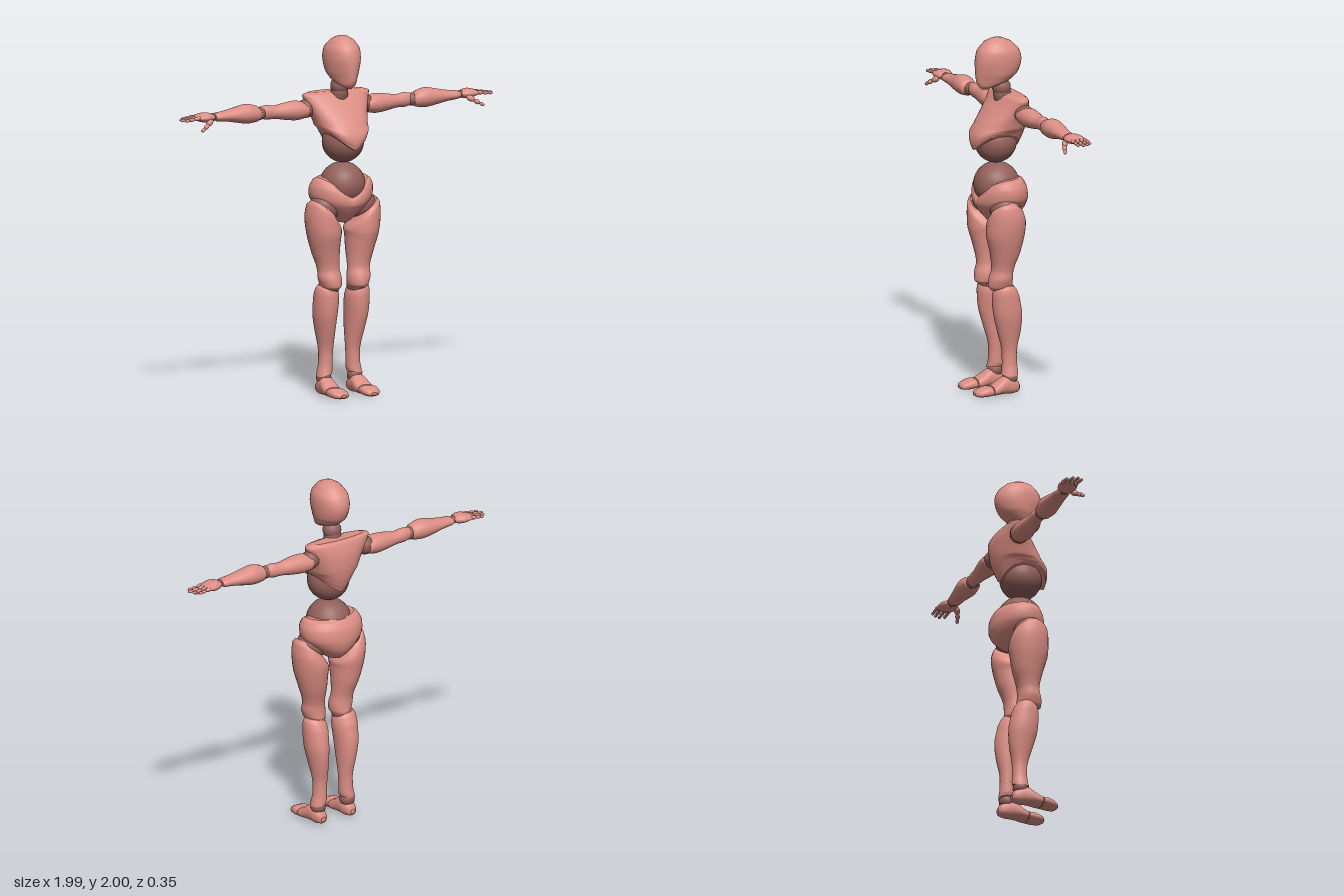
import * as THREE from 'three';

const skin = new THREE.MeshStandardMaterial({ color: 0xdc8e84 });
skin.name = 'rose body';
const joint = new THREE.MeshStandardMaterial({ color: 0x92605a });
joint.name = 'dark joint';

const clamp01 = (v) => Math.min(1, Math.max(0, v));

// Smooth body from sections [t, uMin, uMax, vMin, vMax] rising along an axis.
// axis y: u = x, v = z | axis x: u = y, v = z | axis z: u = x, v = y
function loft(axis, sections, deform, power = 1, sides = 32, sub = 5) {
  const rings = [];
  const at = (i) => sections[Math.min(sections.length - 1, Math.max(0, i))];
  for (let i = 0; i < sections.length - 1; i++) {
    for (let s = 0; s < sub; s++) {
      const f = s / sub;
      rings.push(at(i).map((b, k) => {
        const a = at(i - 1)[k], c = at(i + 1)[k], d = at(i + 2)[k];
        if (k === 0) return b + (c - b) * f;
        return 0.5 * (2 * b + (c - a) * f + (2 * a - 5 * b + 4 * c - d) * f * f
          + (3 * b - a - 3 * c + d) * f * f * f);
      }));
    }
  }
  rings.push(at(sections.length));
  const pos = [], idx = [];
  const put = (t, u, v) => {
    const p = axis === 'y' ? new THREE.Vector3(u, t, v)
      : axis === 'x' ? new THREE.Vector3(t, u, v) : new THREE.Vector3(u, v, t);
    if (deform) deform(p);
    pos.push(p.x, p.y, p.z);
  };
  const tri = (a, b, c) => (axis === 'y' ? idx.push(a, c, b) : idx.push(a, b, c));
  const bend = (w) => Math.sign(w) * Math.abs(w) ** power;
  const ring = ([t, u0, u1, v0, v1]) => {
    for (let j = 0; j < sides; j++) {
      const a = (j / sides) * Math.PI * 2;
      put(t, (u0 + u1) / 2 + bend(Math.cos(a)) * (u1 - u0) / 2,
        (v0 + v1) / 2 + bend(Math.sin(a)) * (v1 - v0) / 2);
    }
  };
  rings.forEach(ring);
  for (let i = 0; i < rings.length - 1; i++) {
    for (let j = 0; j < sides; j++) {
      const a = i * sides + j, b = i * sides + (j + 1) % sides;
      tri(a, b, a + sides);
      tri(b, b + sides, a + sides);
    }
  }
  // End caps with their own vertices, so the rims stay crisp
  [rings[0], rings[rings.length - 1]].forEach((r, end) => {
    const base = pos.length / 3;
    ring(r);
    put(r[0], (r[1] + r[2]) / 2, (r[3] + r[4]) / 2);
    for (let j = 0; j < sides; j++) {
      const a = base + j, b = base + (j + 1) % sides;
      if (end) tri(a, b, base + sides); else tri(b, a, base + sides);
    }
  });
  const g = new THREE.BufferGeometry();
  g.setAttribute('position', new THREE.Float32BufferAttribute(pos, 3));
  g.setIndex(idx);
  g.computeVertexNormals();
  return g;
}

const ball = (x, y, z, rx, ry = rx, rz = rx) =>
  new THREE.SphereGeometry(1, 28, 20).scale(rx, ry, rz).translate(x, y, z);

// Slim rounded finger bone between two points
function bone(a, b, r) {
  const dir = b.clone().sub(a);
  const g = new THREE.SphereGeometry(1, 12, 10).scale(r, dir.length() * 0.56, r);
  g.applyQuaternion(new THREE.Quaternion().setFromUnitVectors(
    new THREE.Vector3(0, 1, 0), dir.clone().normalize()));
  const m = a.clone().lerp(b, 0.5);
  return g.translate(m.x, m.y, m.z);
}

function mirrored(geometry) {
  const g = geometry.clone().scale(-1, 1, 1), ix = g.index;
  for (let i = 0; i < ix.count; i += 3) {
    const k = ix.getX(i);
    ix.setX(i, ix.getX(i + 1));
    ix.setX(i + 1, k);
  }
  return g;
}

export function createModel() {
  const model = new THREE.Group();
  model.name = 'jointedMannequin';
  const add = (name, geometry, material = skin) => {
    const m = new THREE.Mesh(geometry, material);
    m.name = name;
    model.add(m);
  };
  const pair = (name, geometry, material = skin) => {
    add(name + 'Left', geometry, material);
    add(name + 'Right', mirrored(geometry), material);
  };

  // Head with a face that narrows to the chin
  add('head', loft('y', [
    [1.712, -0.02, 0.02, 0.045, 0.085], [1.73, -0.05, 0.05, 0, 0.103],
    [1.755, -0.068, 0.068, -0.075, 0.115], [1.8, -0.086, 0.086, -0.128, 0.12],
    [1.87, -0.095, 0.095, -0.15, 0.12], [1.93, -0.09, 0.09, -0.132, 0.106],
    [1.975, -0.06, 0.06, -0.085, 0.068], [1.993, -0.03, 0.03, -0.045, 0.03],
    [2, -0.003, 0.003, -0.01, 0]], (p) => {
    p.x *= 1 - 0.3 * clamp01(p.z / 0.12) * clamp01((1.87 - p.y) / 0.1);
  }));
  add('neckBall', ball(0, 1.715, -0.035, 0.052), joint);
  add('neckBase', loft('y', [[1.63, -0.055, 0.055, -0.12, 0],
    [1.67, -0.05, 0.05, -0.095, 0.01], [1.7, -0.045, 0.045, -0.085, 0.01]]), joint);

  // Chest, its lower rim arching up over each side
  add('chest', loft('y', [
    [1.375, -0.122, 0.122, -0.125, 0.138], [1.41, -0.13, 0.13, -0.14, 0.146],
    [1.46, -0.138, 0.138, -0.155, 0.137], [1.53, -0.155, 0.155, -0.165, 0.095],
    [1.6, -0.18, 0.18, -0.163, 0.038], [1.645, -0.2, 0.2, -0.153, 0],
    [1.672, -0.206, 0.206, -0.142, -0.022], [1.684, -0.17, 0.17, -0.125, -0.05]], (p) => {
    p.y += Math.max(0, 1.5 - p.y) * 0.75 * Math.min(1, Math.abs(p.x) / 0.12) ** 1.3;
  }, 0.88));
  add('ribBall', ball(0, 1.41, 0, 0.117), joint);
  add('bellyBall', ball(0, 1.17, -0.005, 0.126, 0.126, 0.128), joint);

  // Pelvis, dipping at the front of the waist
  add('pelvis', loft('y', [
    [0.96, -0.02, 0.02, -0.06, 0.03], [0.975, -0.045, 0.045, -0.105, 0.055],
    [1.01, -0.09, 0.09, -0.145, 0.085], [1.05, -0.14, 0.14, -0.166, 0.112],
    [1.1, -0.18, 0.18, -0.174, 0.122], [1.16, -0.186, 0.186, -0.166, 0.122],
    [1.2, -0.168, 0.168, -0.145, 0.115], [1.215, -0.145, 0.145, -0.12, 0.105]], (p) => {
    p.y -= 0.11 * clamp01(p.z / 0.11) * clamp01(1 - Math.abs(p.x) / 0.18)
      * clamp01((p.y - 1.05) / 0.16);
  }));

  // Legs
  pair('hipBall', ball(0.115, 1.05, -0.005, 0.085), joint);
  pair('thigh', loft('y', [
    [0.592, 0.045, 0.125, -0.045, 0.065], [0.61, 0.03, 0.142, -0.057, 0.082],
    [0.655, 0.026, 0.158, -0.055, 0.08], [0.71, 0.034, 0.16, -0.06, 0.066],
    [0.8, 0.032, 0.186, -0.09, 0.08], [0.9, 0.028, 0.212, -0.11, 0.104],
    [1, 0.024, 0.224, -0.116, 0.107], [1.07, 0.035, 0.215, -0.1, 0.103],
    [1.1, 0.065, 0.195, -0.075, 0.085]], (p) => {
    p.y -= 0.14 * clamp01((p.y - 0.88) / 0.2) * clamp01((0.2 - p.x) / 0.17);
  }));
  pair('kneeBall', ball(0.088, 0.605, 0, 0.056), joint);
  pair('shin', loft('y', [
    [0.112, 0.055, 0.14, -0.088, 0.008], [0.13, 0.05, 0.137, -0.088, 0.004],
    [0.17, 0.049, 0.128, -0.085, 0], [0.25, 0.046, 0.127, -0.086, 0.003],
    [0.35, 0.041, 0.145, -0.104, 0.03], [0.45, 0.035, 0.163, -0.11, 0.055],
    [0.55, 0.029, 0.166, -0.092, 0.062], [0.59, 0.035, 0.16, -0.075, 0.055],
    [0.612, 0.05, 0.145, -0.06, 0.04]], (p) => {
    p.y += 0.15 * (p.x - 0.097) * clamp01((p.y - 0.45) / 0.1);
    p.y -= 0.2 * (p.x - 0.095) * clamp01((0.25 - p.y) / 0.1);
  }));
  pair('ankleBall', ball(0.098, 0.095, -0.042, 0.042), joint);
  pair('foot', loft('z', [
    [-0.095, 0.085, 0.115, 0.02, 0.05], [-0.085, 0.07, 0.128, 0.009, 0.07],
    [-0.05, 0.058, 0.14, 0.002, 0.092], [-0.01, 0.055, 0.145, 0.004, 0.104],
    [0.02, 0.052, 0.15, 0.005, 0.088], [0.05, 0.05, 0.154, 0.003, 0.068],
    [0.075, 0.052, 0.155, 0.003, 0.056]], null, 0.85));
  pair('toes', loft('z', [
    [0.08, 0.052, 0.155, 0.003, 0.054], [0.11, 0.05, 0.155, 0, 0.056],
    [0.145, 0.052, 0.148, 0, 0.045], [0.165, 0.06, 0.135, 0.003, 0.036],
    [0.176, 0.08, 0.115, 0.01, 0.026]], null, 0.85));

  // Arms
  pair('shoulderBall', ball(0.185, 1.595, -0.085, 0.052), joint);
  pair('upperArm', loft('x', [
    [0.178, 1.56, 1.615, -0.125, -0.045], [0.195, 1.545, 1.63, -0.142, -0.03],
    [0.25, 1.535, 1.643, -0.142, -0.027], [0.32, 1.542, 1.638, -0.134, -0.034],
    [0.39, 1.553, 1.627, -0.124, -0.046], [0.44, 1.553, 1.634, -0.12, -0.05],
    [0.478, 1.56, 1.628, -0.113, -0.055]]));
  pair('elbowBall', ball(0.487, 1.592, -0.08, 0.036), joint);
  pair('forearm', loft('x', [
    [0.49, 1.56, 1.622, -0.11, -0.042], [0.51, 1.549, 1.638, -0.125, -0.028],
    [0.57, 1.543, 1.652, -0.134, -0.02], [0.63, 1.552, 1.642, -0.13, -0.024],
    [0.7, 1.565, 1.628, -0.12, -0.03], [0.765, 1.572, 1.62, -0.112, -0.033],
    [0.782, 1.578, 1.614, -0.106, -0.04]]));
  pair('wristBall', ball(0.79, 1.597, -0.073, 0.022), joint);
  pair('palm', loft('x', [
    [0.79, 1.585, 1.612, -0.1, -0.045], [0.81, 1.574, 1.622, -0.118, -0.03],
    [0.845, 1.572, 1.626, -0.13, -0.023], [0.88, 1.58, 1.618, -0.13, -0.03],
    [0.9, 1.59, 1.61, -0.125, -0.04]]));

  // Four fingers of three bones each
  [[-0.12, 0.962], [-0.096, 0.985], [-0.071, 0.995], [-0.047, 0.98]].forEach(([z, tip], f) => {
    const start = new THREE.Vector3(0.88, 1.602, z);
    const end = new THREE.Vector3(tip, 1.592, z + (f - 1.5) * 0.002);
    const cuts = [0, 0.42, 0.74, 1];
    for (let k = 0; k < 3; k++) {
      pair(`finger${f + 1}Bone${k + 1}`, bone(start.clone().lerp(end, cuts[k]),
        start.clone().lerp(end, cuts[k + 1]), 0.0115 - k * 0.0015));
    }
  });

  // Thumb
  const thumb = [[0.815, 1.588, -0.04], [0.85, 1.565, -0.018], [0.878, 1.549, -0.006],
    [0.902, 1.535, 0]].map((p) => new THREE.Vector3(...p));
  for (let k = 0; k < 3; k++) {
    pair(`thumbBone${k + 1}`, bone(thumb[k], thumb[k + 1], 0.017 - k * 0.0035));
  }
  return model;
}
